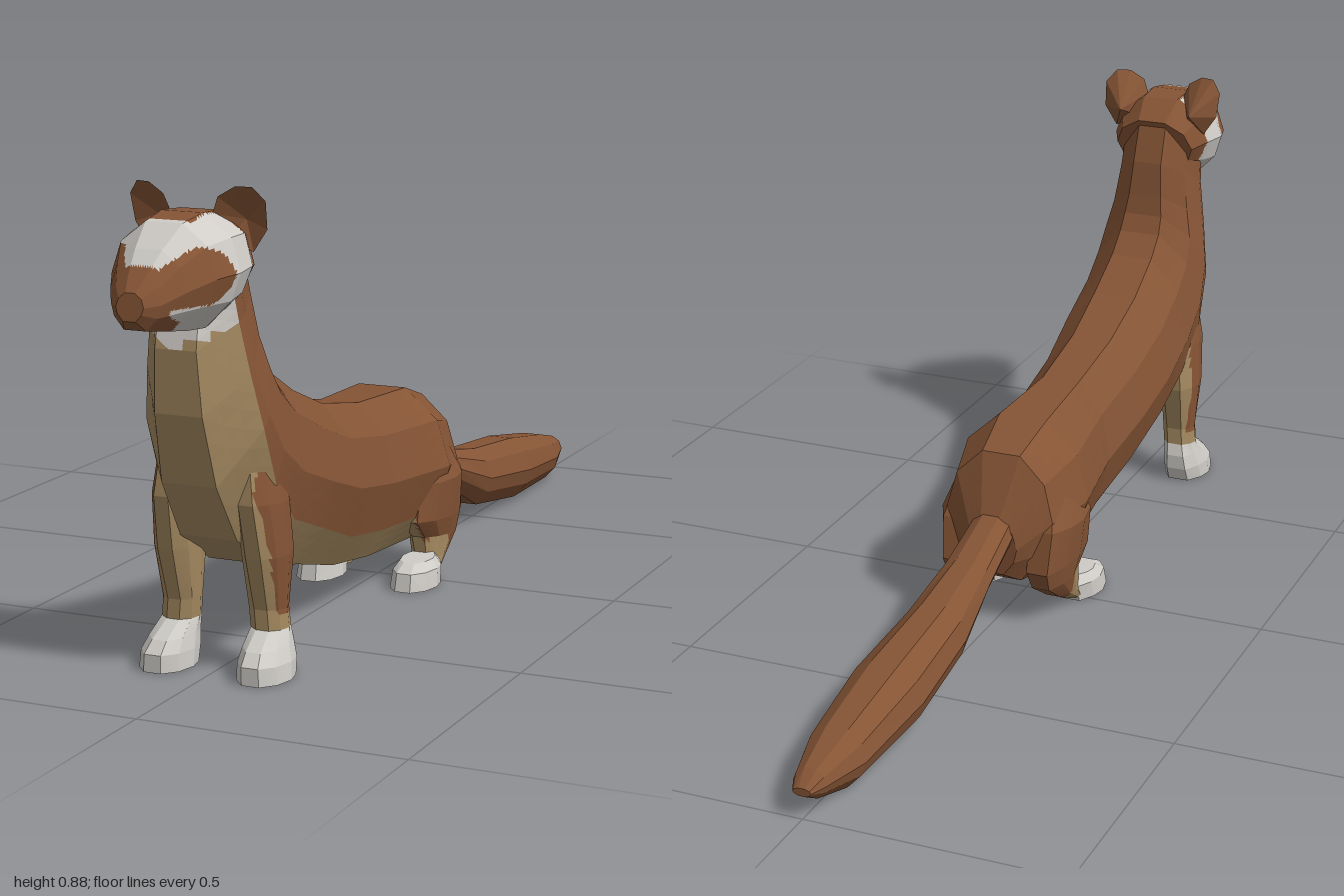
import * as THREE from 'three';

const material = (name, color) => {
  const m = new THREE.MeshStandardMaterial({ color });
  m.name = name;
  return m;
};
const BROWN = 0, TAN = 1, WHITE = 2;

// Ten-sided cross-section as [sideways, along the top-to-bottom line];
// low sets the height of the edge that bounds the underside
function section(low) {
  const half = [[0.35, 1], [0.82, 0.6], [1, 0], [1 - 0.56 * low * low, low], [0.45, -1]];
  return [...half, ...half.map(([s, u]) => [-s, u]).reverse()];
}
const SIDES = 10;

// Faceted mesh from triangles [a, b, c, colour], turned outwards and grouped by colour
function facetMesh(name, tris, materials) {
  const volume = tris.reduce((v, [a, b, c]) => v + a.dot(b.clone().cross(c)), 0);
  const positions = [];
  const geometry = new THREE.BufferGeometry();
  materials.forEach((m, k) => {
    const start = positions.length / 3;
    for (const [a, b, c, colour] of tris) {
      if (colour !== k) continue;
      for (const p of volume < 0 ? [a, c, b] : [a, b, c]) positions.push(p.x, p.y, p.z);
    }
    const count = positions.length / 3 - start;
    if (count) geometry.addGroup(start, count, k);
  });
  geometry.setAttribute('position', new THREE.Float32BufferAttribute(positions, 3));
  geometry.computeVertexNormals();
  const mesh = new THREE.Mesh(geometry, materials);
  mesh.name = name;
  return mesh;
}

// Loft through rings [topZ, topY, bottomZ, bottomY, halfWidth, centreX, low];
// each facet is split sub x sub so the coat markings can cross it
function loft(name, rings, materials, colourOf = () => BROWN, sub = 1, side = 1) {
  const tris = [];
  const corner = ([tz, ty, bz, by, w, cx = 0, low = -0.5], j) => {
    const [s, u] = section(low)[j % SIDES], t = (1 + u) / 2;
    return new THREE.Vector3(side * (cx + s * w), by + (ty - by) * t, bz + (tz - bz) * t);
  };
  const add = (a, b, c, under) => {
    const m = a.clone().add(b).add(c).divideScalar(3);
    tris.push([a, b, c, colourOf(Math.abs(m.x), m.y, m.z, under)]);
  };
  for (let i = 0; i < rings.length - 1; i++) {
    for (let j = 0; j < SIDES; j++) {
      const under = j >= 3 && j <= 5;
      const at = (p, q) => corner(rings[i], j).lerp(corner(rings[i], j + 1), q / sub)
        .lerp(corner(rings[i + 1], j).lerp(corner(rings[i + 1], j + 1), q / sub), p / sub);
      for (let p = 0; p < sub; p++) for (let q = 0; q < sub; q++) {
        add(at(p, q), at(p + 1, q), at(p + 1, q + 1), under);
        add(at(p, q), at(p + 1, q + 1), at(p, q + 1), under);
      }
    }
  }
  // End caps
  for (const [r, last] of [[rings[0], false], [rings.at(-1), true]]) {
    const mid = new THREE.Vector3(side * (r[5] ?? 0), (r[1] + r[3]) / 2, (r[0] + r[2]) / 2);
    for (let j = 0; j < SIDES; j++) {
      const a = corner(r, j), b = corner(r, j + 1);
      last ? add(mid, b, a, false) : add(mid, a, b, false);
    }
  }
  return facetMesh(name, tris, materials);
}

// Cupped ear: a slanted rim with a hollow front and a bulging back
function ear(materials, side) {
  const rim = [[0.04, 0.832], [0.052, 0.862], [0.082, 0.88], [0.11, 0.88], [0.13, 0.855], [0.127, 0.805], [0.1, 0.765], [0.05, 0.785]]
    .map(([x, y]) => new THREE.Vector3(side * x, y, 0.778 - 0.3 * (x - 0.06) + 0.25 * (y - 0.86)));
  const front = new THREE.Vector3(side * 0.085, 0.82, 0.738);
  const back = new THREE.Vector3(side * 0.078, 0.81, 0.705);
  const tris = rim.flatMap((a, i) => {
    const b = rim[(i + 1) % rim.length];
    return [[front, b, a, BROWN], [back, a, b, BROWN]];
  });
  return facetMesh('ear', tris, materials);
}

// Face markings: brown muzzle, eye patches and crown on white
function faceColour(x, y, z) {
  if (z < 0.755) return y < 0.69 ? WHITE : BROWN;
  if (z > 0.955 || (z > 0.92 && x < 0.05 && y < 0.7)) return BROWN;
  if (x < 0.042 && y > 0.8 && z < 0.86) return BROWN;
  if (x < 0.03 + 1.1 * (y - 0.76) && y > 0.76) return WHITE;
  const patch = ((z - 0.888) / 0.058) ** 2 + ((y - 0.742) / 0.048) ** 2 < 1;
  return patch || (z > 0.9 && y > 0.695) ? BROWN : WHITE;
}

export function createModel() {
  const coat = [material('brown fur', 0x855435), material('tan fur', 0xa48960), material('white fur', 0xcfccc7)];
  const model = new THREE.Group();
  model.name = 'weasel';

  // Body from rump to neck, with tan belly and chest and a white throat
  model.add(loft('body', [
    [-0.185, 0.228, -0.18, 0.11, 0.055],
    [-0.13, 0.345, -0.15, 0.09, 0.113],
    [-0.02, 0.38, -0.04, 0.075, 0.143, 0, -0.6],
    [0.18, 0.388, 0.16, 0.08, 0.112, 0, -0.62],
    [0.35, 0.42, 0.33, 0.105, 0.12, 0, -0.62],
    [0.48, 0.47, 0.48, 0.145, 0.13, 0, -0.55],
    [0.58, 0.525, 0.62, 0.18, 0.127, 0, -0.5],
    [0.625, 0.565, 0.73, 0.25, 0.125, 0, -0.35],
    [0.645, 0.6, 0.8, 0.36, 0.118, 0, -0.2],
    [0.655, 0.64, 0.835, 0.49, 0.102, 0, -0.15],
    [0.667, 0.71, 0.842, 0.605, 0.088, 0, -0.2],
    [0.7, 0.8, 0.83, 0.66, 0.085, 0, -0.3],
  ], coat, (x, y, z, under) => {
    if (!under || z < -0.04) return BROWN;
    return y > 0.602 + 0.5 * x ? WHITE : TAN;
  }, 3));

  // Tail
  model.add(loft('tail', [
    [-0.15, 0.245, -0.15, 0.17, 0.045],
    [-0.3, 0.192, -0.3, 0.115, 0.052],
    [-0.45, 0.162, -0.45, 0.04, 0.066],
    [-0.66, 0.142, -0.66, 0.01, 0.076],
    [-0.86, 0.108, -0.88, 0.005, 0.06],
    [-0.965, 0.082, -0.97, 0.028, 0.033],
    [-1, 0.06, -1, 0.045, 0.018],
  ], coat));

  // Head
  model.add(loft('head', [
    [0.69, 0.795, 0.73, 0.68, 0.085],
    [0.745, 0.834, 0.78, 0.655, 0.108],
    [0.81, 0.838, 0.83, 0.645, 0.115],
    [0.875, 0.828, 0.88, 0.648, 0.1],
    [0.93, 0.79, 0.935, 0.655, 0.072],
    [0.972, 0.75, 0.98, 0.662, 0.047],
    [0.995, 0.727, 1, 0.68, 0.026],
  ], coat, faceColour, 9));

  for (const side of [1, -1]) {
    model.add(ear(coat, side));

    // Front leg with paw
    model.add(loft('frontLeg', [
      [0.74, 0.42, 0.63, 0.4, 0.03, 0.075],
      [0.75, 0.32, 0.61, 0.31, 0.04, 0.083],
      [0.73, 0.22, 0.61, 0.22, 0.042, 0.087],
      [0.7, 0.12, 0.632, 0.12, 0.036, 0.086],
      [0.7, 0.083, 0.63, 0.085, 0.036, 0.089],
      [0.745, 0.055, 0.622, 0.06, 0.041, 0.093],
      [0.766, 0.033, 0.622, 0.03, 0.047, 0.096],
      [0.766, 0, 0.635, 0, 0.049, 0.097],
    ], coat, (x, y, z) => {
      if (y < 0.084) return WHITE;
      return y > 0.11 && x > 0.096 && z > 0.64 && z < 0.685 + 0.25 * (y - 0.1) ? BROWN : TAN;
    }, 4, side));

    // Hind leg: brown haunch with tan inside and shin
    model.add(loft('hindLeg', [
      [0, 0.29, -0.1, 0.29, 0.035, 0.075],
      [0.04, 0.2, -0.15, 0.2, 0.056, 0.091],
      [0.05, 0.125, -0.165, 0.115, 0.048, 0.09],
      [0.005, 0.085, -0.145, 0.075, 0.04, 0.09],
      [0, 0.045, -0.085, 0.035, 0.032, 0.093],
      [0.005, 0.01, -0.035, 0.01, 0.03, 0.095],
    ], coat, (x, y, z) => (z < -0.06 || (x > 0.1 && y > 0.08) || y > 0.2 ? BROWN : TAN), 3, side));

    // Hind paw
    model.add(loft('hindPaw', [
      [0.075, 0.05, -0.015, 0.054, 0.032, 0.1],
      [0.105, 0.035, -0.03, 0.035, 0.043, 0.102],
      [0.113, 0, -0.02, 0, 0.046, 0.102],
    ], coat, () => WHITE, 1, side));
  }
  return model;
}
